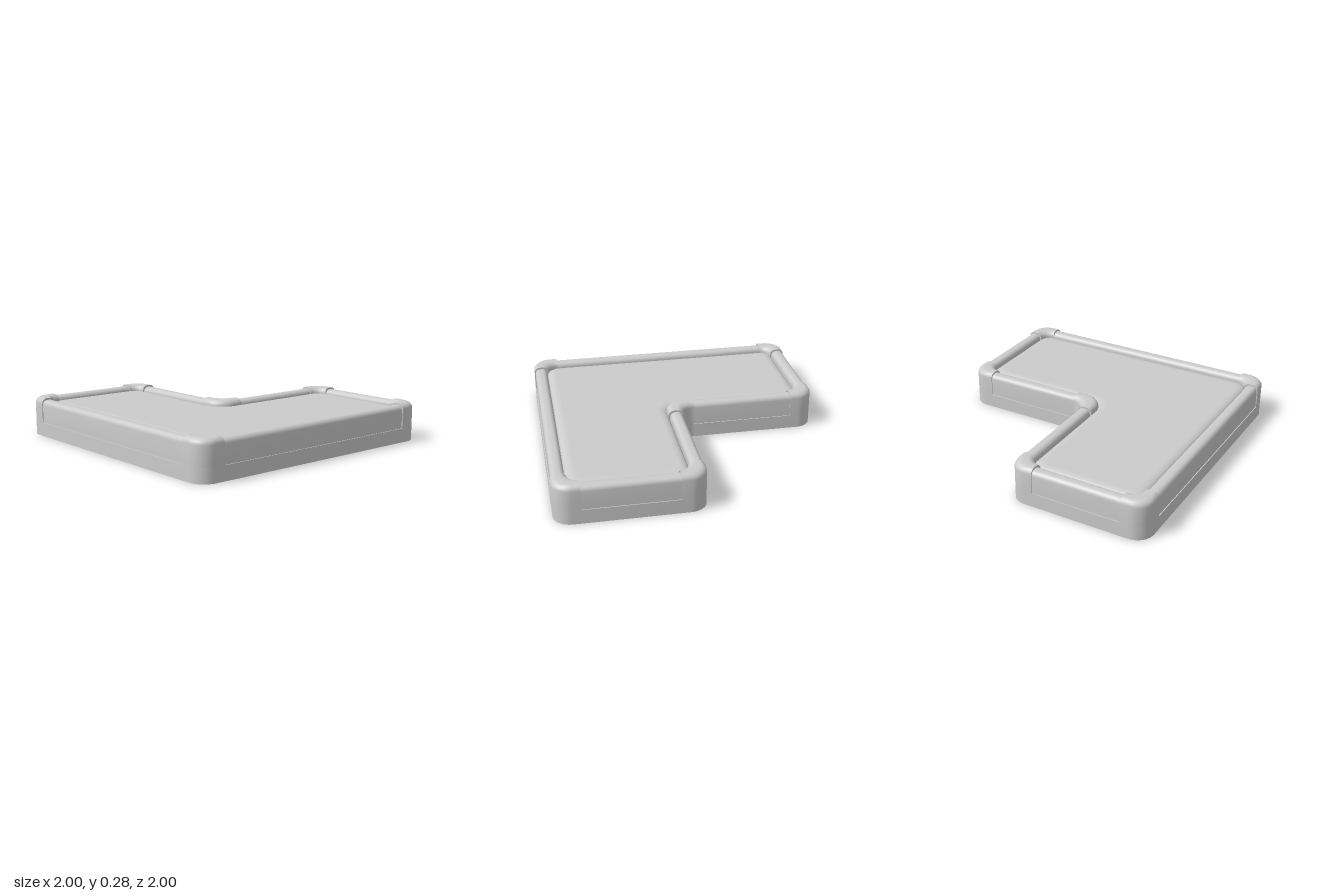
import * as THREE from 'three';
import { toCreasedNormals } from 'three/addons/utils/BufferGeometryUtils.js';

const material = new THREE.MeshStandardMaterial({ color: 0xcccccc, side: THREE.DoubleSide });

// L-shaped plan as [x, z] corners; the third corner is the concave one
const plan = [[-1, -1], [0, -1], [0, 0], [1, 0], [1, 1], [-1, 1]].map(([x, z]) => new THREE.Vector2(x, z));
const count = plan.length;
const inward = (t) => new THREE.Vector2(-t.y, t.x);
const corners = plan.map((p, i) => {
  const a = p.clone().sub(plan[(i + count - 1) % count]).normalize();
  const b = plan[(i + 1) % count].clone().sub(p).normalize();
  const concave = a.cross(b) < 0;
  return { p, a, b, concave, reach: concave ? 0.1 : 0.18 };
});

// Where a corner piece meets the straight rails, at inset d
const startOf = (c, d) => c.p.clone().addScaledVector(c.a, -c.reach).addScaledVector(inward(c.a), d);
const endOf = (c, d) => c.p.clone().addScaledVector(c.b, c.reach).addScaledVector(inward(c.b), d);

// Rounded bend of one corner at inset d
function bend(c, d, steps = 12) {
  const r = c.concave ? 0.1 + 0.4 * d : 0.12 - 0.4 * d;
  const centre = c.p.clone().addScaledVector(inward(c.a), d).addScaledVector(inward(c.b), d)
    .addScaledVector(c.a, -r).addScaledVector(c.b, r);
  return Array.from({ length: steps + 1 }, (_, i) => {
    const t = (i / steps) * Math.PI / 2;
    return centre.clone().addScaledVector(c.b, -r * Math.cos(t)).addScaledVector(c.a, r * Math.sin(t));
  });
}

const cornerPath = (c) => (d) => [startOf(c, d), ...bend(c, d), endOf(c, d)];
const railPath = (c, next) => (d) => [endOf(c, d), startOf(next, d)];
const loopPath = (d) => {
  const ring = corners.flatMap((c) => bend(c, d));
  return [...ring, ring[0]];
};

// Sweep a profile of [inset, height] points along a path, optionally closing its ends
function sweep(name, path, profile, capped = false) {
  const rings = profile.map(([d]) => path(d));
  const n = rings[0].length;
  const positions = rings.flatMap((ring, j) => ring.flatMap((q) => [q.x, profile[j][1], q.y]));
  const index = [];
  for (let j = 0; j < rings.length - 1; j++) {
    for (let i = 0; i < n - 1; i++) {
      const k = j * n + i;
      index.push(k, k + n, k + 1, k + 1, k + n, k + n + 1);
    }
    if (capped && j > 0) {
      index.push(0, (j + 1) * n, j * n);
      index.push(n - 1, j * n + n - 1, (j + 1) * n + n - 1);
    }
  }
  const geometry = new THREE.BufferGeometry();
  geometry.setAttribute('position', new THREE.Float32BufferAttribute(positions, 3));
  geometry.setIndex(index);
  const mesh = new THREE.Mesh(toCreasedNormals(geometry, 0.6), material);
  mesh.name = name;
  return mesh;
}

// Wall profile with a rounded top
function wallProfile(outer, inner, top, r, foot) {
  const profile = [[outer, 0.1]];
  for (let i = 0; i <= 6; i++) {
    const t = (i / 6) * Math.PI / 2;
    profile.push([outer + r * (1 - Math.cos(t)), top - r * (1 - Math.sin(t))]);
  }
  for (let i = 0; i <= 6; i++) {
    const t = (i / 6) * Math.PI / 2;
    profile.push([inner - r * (1 - Math.sin(t)), top - r * (1 - Math.cos(t))]);
  }
  profile.push([inner, foot]);
  return profile;
}

// Flat cap filling the plan at inset d
function cap(name, d, y, up) {
  const s = up ? -1 : 1;
  const shape = new THREE.Shape(loopPath(d).slice(0, -1).map((q) => new THREE.Vector2(q.x, s * q.y)));
  const mesh = new THREE.Mesh(new THREE.ShapeGeometry(shape).rotateX(s * Math.PI / 2), material);
  mesh.position.y = y;
  mesh.name = name;
  return mesh;
}

export function createModel() {
  const model = new THREE.Group();
  model.name = 'lShapedTray';

  // Lower skirt, open underneath, with a narrow ledge below the rails
  model.add(sweep('skirt', loopPath, [[0, 0], [0, 0.1], [0.006, 0.1]]));

  // Raised corner pieces and the slightly recessed rails between them
  const cornerProfile = wallProfile(0, 0.108, 0.275, 0.04, 0.18);
  const railProfile = wallProfile(0.006, 0.096, 0.262, 0.035, 0.18);
  corners.forEach((c, i) => {
    model.add(sweep(c.concave ? 'innerCorner' : 'outerCorner', cornerPath(c), cornerProfile, true));
    model.add(sweep('rail', railPath(c, corners[(i + 1) % count]), railProfile));
  });

  // Floor slab with a softly rounded upper edge
  const floorProfile = [[0.1, 0.1]];
  for (let i = 0; i <= 6; i++) {
    const t = (i / 6) * Math.PI / 2;
    floorProfile.push([0.1 + 0.06 * (1 - Math.cos(t)), 0.205 + 0.035 * Math.sin(t)]);
  }
  model.add(sweep('floorEdge', loopPath, floorProfile));
  model.add(cap('floorTop', 0.16, 0.24, true));
  model.add(cap('floorUnderside', 0.1, 0.1, false));
  return model;
}
